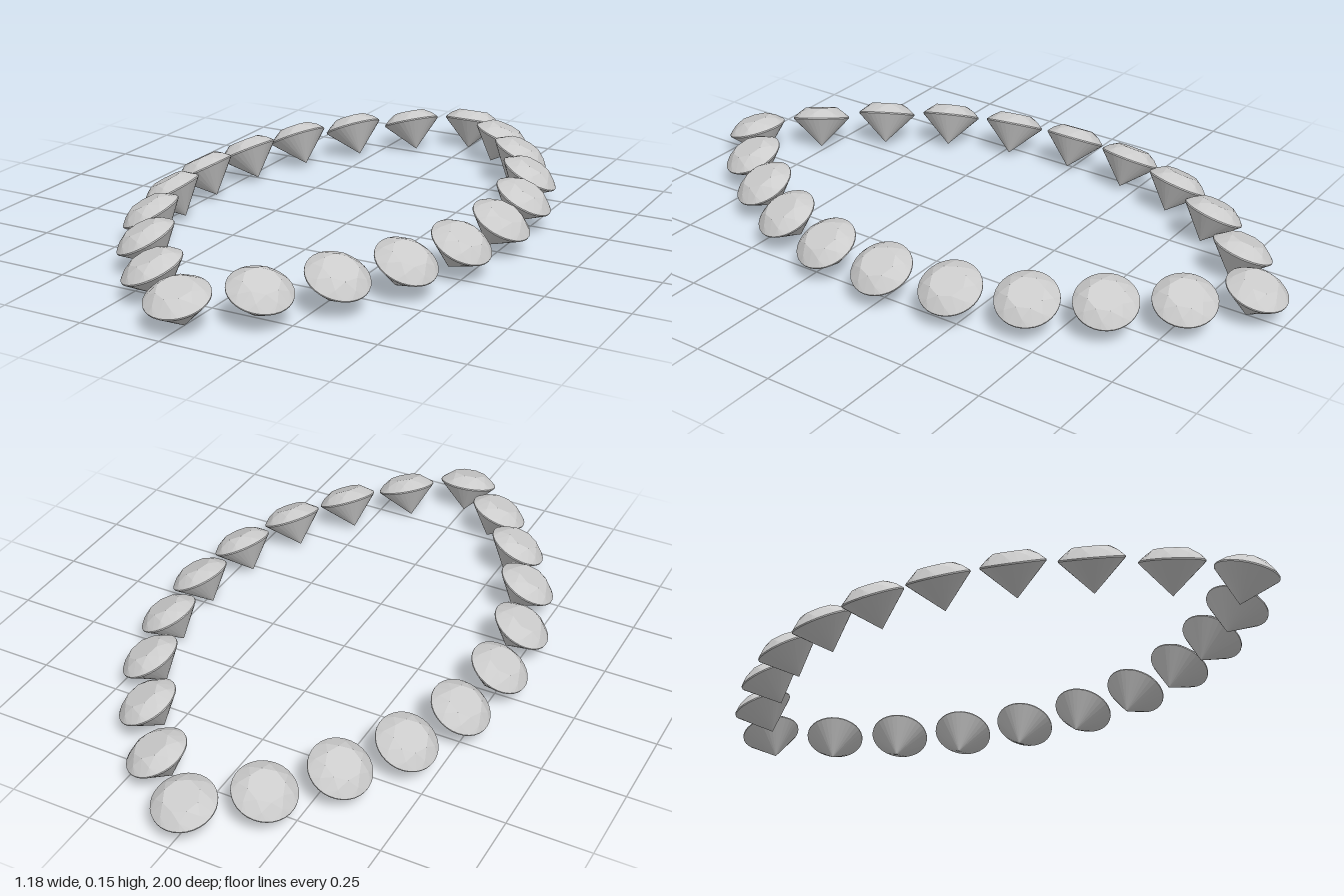
import * as THREE from 'three';
import { ConvexGeometry } from 'three/addons/geometries/ConvexGeometry.js';

// Ring of n points at radius r and height y
function ring(n, r, y, offset = 0) {
  return Array.from({ length: n }, (_, i) => {
    const a = (i + offset) * 2 * Math.PI / n;
    return new THREE.Vector3(r * Math.sin(a), y, r * Math.cos(a));
  });
}

// Round brilliant cut: table, crown kites, thin girdle, pointed pavilion
function gemGeometry() {
  return new ConvexGeometry([
    ...ring(8, 0.052, 0.034),
    ...ring(8, 0.075, 0.019, 0.5),
    ...ring(32, 0.092, 0.002),
    ...ring(32, 0.092, -0.002),
    new THREE.Vector3(0, -0.094, 0),
  ]);
}

export function createModel() {
  const model = new THREE.Group();
  model.name = 'gemRing';
  const material = new THREE.MeshStandardMaterial({ color: 0xcccccc, flatShading: true });
  const geometry = gemGeometry();
  const up = new THREE.Vector3(0, 1, 0);

  // One quarter of the marquise outline: x, y, z, outward lean (degrees), lean direction (degrees from z)
  const quarter = [
    [0, 0.09, 0.912, 18, 0],
    [0.17, 0.096, 0.78, 23, 55],
    [0.308, 0.102, 0.612, 27, 62],
    [0.418, 0.102, 0.428, 28, 68],
    [0.486, 0.1, 0.22, 28, 79],
    [0.51, 0.1, 0, 28, 90],
  ];

  // Mirror the quarter to all four sides, without doubling gems on an axis
  for (const [x, y, z, leanDeg, dirDeg] of quarter) {
    const lean = THREE.MathUtils.degToRad(leanDeg);
    const dir = THREE.MathUtils.degToRad(dirDeg);
    for (const sx of x ? [1, -1] : [1]) {
      for (const sz of z ? [1, -1] : [1]) {
        const gem = new THREE.Mesh(geometry, material);
        gem.name = 'gem';
        gem.position.set(sx * x, y, sz * z);
        gem.quaternion.setFromUnitVectors(up, new THREE.Vector3(
          sx * Math.sin(lean) * Math.sin(dir),
          Math.cos(lean),
          sz * Math.sin(lean) * Math.cos(dir)).normalize());
        model.add(gem);
      }
    }
  }
  return model;
}
